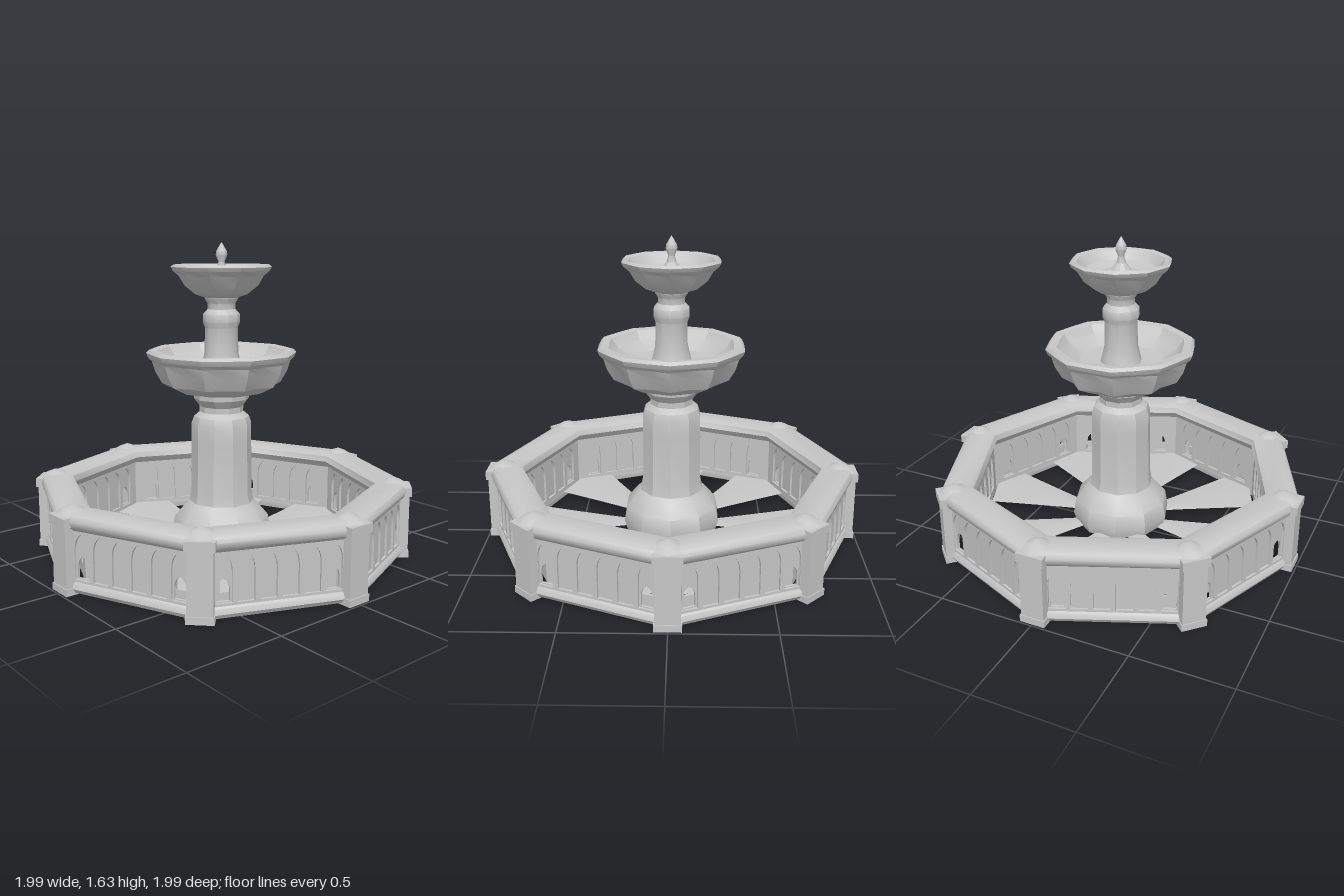
import * as THREE from 'three';
import { toCreasedNormals } from 'three/addons/utils/BufferGeometryUtils.js';

export function createModel() {
  const fountain = new THREE.Group();
  fountain.name = 'fountain';
  const stone = new THREE.MeshStandardMaterial({ color: 0xc6c6c6, side: THREE.DoubleSide });
  stone.name = 'grey stone';

  const add = (name, geometry, parent = fountain, crease = 0.6) => {
    const mesh = new THREE.Mesh(toCreasedNormals(geometry, crease), stone);
    mesh.name = name;
    parent.add(mesh);
    return mesh;
  };
  const lathe = (profile, sides) =>
    new THREE.LatheGeometry(profile.map(([r, y]) => new THREE.Vector2(r, y)), sides);

  // Ten-sided bowl: every second column is drawn in, slightly at the lip and deeper on the fluted body
  const bowl = (profile) => {
    const g = lathe(profile, 20);
    const p = g.attributes.position;
    for (let i = 0; i < p.count; i++) {
      const column = Math.floor(i / profile.length);
      const pull = profile[i % profile.length][2] ?? 0.96;
      if (column % 2) p.setXYZ(i, p.getX(i) * pull, p.getY(i), p.getZ(i) * pull);
    }
    return g;
  };

  // Octagonal basin: rounded coping, and plinth bands under both wall faces
  add('basinCoping', lathe([[0.82, 0.33], [0.955, 0.32], [0.985, 0.345], [0.994, 0.375], [0.98, 0.4],
    [0.945, 0.412], [0.845, 0.41], [0.81, 0.395], [0.797, 0.365], [0.82, 0.33]], 8), fountain, 0.75);
  add('outerPlinth', lathe([[0.945, 0.025], [0.968, 0.025], [0.98, 0.045], [0.972, 0.07], [0.955, 0.085],
    [0.94, 0.085], [0.945, 0.025]], 8), fountain, 0.75);
  add('innerPlinth', lathe([[0.825, 0.03], [0.845, 0.03], [0.845, 0.09], [0.825, 0.09], [0.818, 0.06],
    [0.825, 0.03]], 8), fountain, 0.75);

  // Pointed arch outline
  const arch = (Type, x, half, bottom, spring, top) => {
    const a = new Type();
    a.moveTo(x - half, bottom);
    a.lineTo(x + half, bottom);
    a.lineTo(x + half, spring);
    a.quadraticCurveTo(x + half, (spring + top) / 2 + 0.02, x, top);
    a.quadraticCurveTo(x - half, (spring + top) / 2 + 0.02, x - half, spring);
    return a;
  };
  const rectangle = (half, bottom, top) => new THREE.Shape([
    new THREE.Vector2(-half, bottom), new THREE.Vector2(half, bottom),
    new THREE.Vector2(half, top), new THREE.Vector2(-half, top)]);

  // Arcaded wall: a pierced front layer over a back layer with small openings at the ends
  const wallPanel = (name, half, count) => {
    const group = new THREE.Group();
    group.name = name;
    const front = rectangle(half, 0.06, 0.345);
    const back = rectangle(half, 0.06, 0.345);
    const step = (2 * half - 0.1) / count;
    for (let i = 0; i < count; i++) {
      const x = (i - (count - 1) / 2) * step;
      front.holes.push(arch(THREE.Path, x, step * 0.38, 0.09, 0.23, 0.315));
      if (i === 0 || i === count - 1) back.holes.push(arch(THREE.Path, x, step * 0.3, 0.095, 0.14, 0.2));
    }
    const options = { depth: 0.012, bevelEnabled: false, curveSegments: 4 };
    add('arcade', new THREE.ExtrudeGeometry(front, options), group);
    add('recess', new THREE.ExtrudeGeometry(back, options), group).position.z = -0.012;
    return group;
  };

  const side = Math.PI / 4;
  for (let i = 0; i < 8; i++) {
    // Walls sit between the corners
    const section = new THREE.Group();
    section.name = 'basinSide';
    section.rotation.y = (i + 0.5) * side;
    const outer = wallPanel('outerWall', 0.364, 6);
    outer.position.z = 0.878;
    const inner = wallPanel('innerWall', 0.318, 5);
    inner.rotation.y = Math.PI;
    inner.position.z = 0.77;
    section.add(outer, inner);
    fountain.add(section);

    // Corner post with narrow foot and a low knob on the coping
    const corner = new THREE.Group();
    corner.name = 'basinCorner';
    corner.rotation.y = i * side;
    fountain.add(corner);
    add('cornerPost', new THREE.BoxGeometry(0.12, 0.34, 0.07), corner).position.set(0, 0.2, 0.95);
    add('postFoot', new THREE.BoxGeometry(0.13, 0.035, 0.07), corner).position.set(0, 0.033, 0.955);
    add('cornerCollar', new THREE.BoxGeometry(0.14, 0.045, 0.07), corner).position.set(0, 0.37, 0.96);
    const cap = lathe([[0.085, 0.395], [0.045, 0.418], [0, 0.435]], 8);
    add('cornerCap', cap, corner, 1).position.z = 0.905;

    // Fan-shaped floor blade, slightly raised along its middle
    const blade = new THREE.PlaneGeometry(1, 1, 2, 4).rotateX(-Math.PI / 2);
    const p = blade.attributes.position;
    for (let k = 0; k < p.count; k++) {
      const s = p.getX(k) * 2, t = p.getZ(k) + 0.5;
      const half = 0.04 + 0.145 * Math.pow(t, 1.05);
      p.setXYZ(k, s * half, 0.085 - 0.01 * Math.abs(s), 0.22 + t * (0.58 - 0.07 * Math.abs(s)));
    }
    add('floorBlade', blade, corner);
  }

  // Pedestal with wide foot and narrow neck
  add('pedestal', lathe([[0, 0.07], [0.25, 0.07], [0.265, 0.12], [0.25, 0.2], [0.2, 0.26], [0.172, 0.29],
    [0.162, 0.34], [0.158, 0.62], [0.157, 0.71], [0.145, 0.745], [0.115, 0.77], [0.115, 0.8],
    [0.145, 0.84], [0.148, 0.88]], 10), fountain, 0.5);

  // Large bowl
  add('largeBowl', bowl([[0, 0.865], [0.15, 0.865], [0.23, 0.88, 0.95], [0.31, 0.92, 0.89], [0.345, 0.98, 0.89],
    [0.362, 1.035, 0.93], [0.382, 1.055], [0.392, 1.08], [0.377, 1.095], [0.335, 1.09], [0.3, 1.045],
    [0.22, 1.0], [0, 0.99]]), fountain, 0.45);

  // Upper column
  add('upperColumn', lathe([[0.11, 0.99], [0.1, 1.03], [0.088, 1.08], [0.086, 1.21], [0.097, 1.24],
    [0.095, 1.28], [0.072, 1.305], [0.072, 1.335], [0.088, 1.36], [0.09, 1.38]], 10), fountain, 0.7);

  // Small bowl
  add('smallBowl', bowl([[0, 1.365], [0.09, 1.365], [0.135, 1.38, 0.95], [0.19, 1.425, 0.9], [0.22, 1.475, 0.91],
    [0.25, 1.5], [0.26, 1.52], [0.247, 1.532], [0.226, 1.525], [0.185, 1.48], [0.11, 1.46], [0.05, 1.48],
    [0.02, 1.52], [0, 1.53]]), fountain, 0.45);

  // Bud-shaped spout
  add('finial', lathe([[0.03, 1.5], [0.016, 1.545], [0.03, 1.58], [0.027, 1.6], [0.01, 1.63], [0, 1.645]], 8),
    fountain, 0.8);

  return fountain;
}
